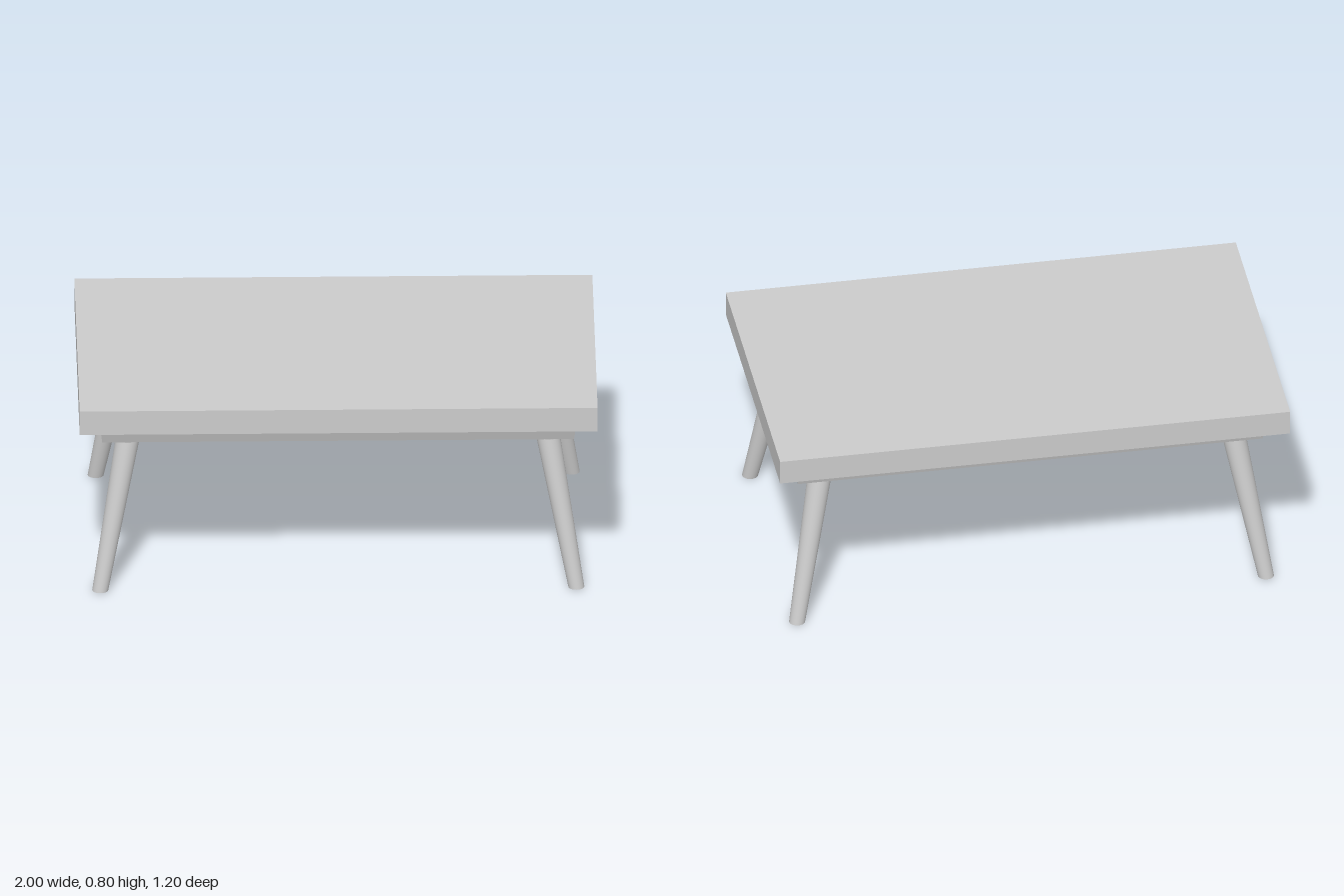
import * as THREE from 'three';

const material = new THREE.MeshStandardMaterial({ color: 0xcccccc });

function addMesh(parent, name, geometry) {
  const mesh = new THREE.Mesh(geometry, material);
  mesh.name = name;
  parent.add(mesh);
  return mesh;
}

function rectangle(PathType, x, z) {
  return new PathType([[-x, -z], [x, -z], [x, z], [-x, z]].map(([a, b]) => new THREE.Vector2(a, b)));
}

// Hollow rectangular frame whose walls lean inward toward the bottom
function apronGeometry() {
  const yBottom = 0.617, height = 0.083, wall = 0.02;
  const outline = rectangle(THREE.Shape, 0.92, 0.52);
  outline.holes.push(rectangle(THREE.Path, 0.92 - wall, 0.52 - wall));
  const geometry = new THREE.ExtrudeGeometry(outline, { depth: height, bevelEnabled: false });
  geometry.rotateX(-Math.PI / 2);
  const p = geometry.attributes.position;
  for (let i = 0; i < p.count; i++) {
    const drop = 1 - p.getY(i) / height;
    p.setX(i, p.getX(i) - Math.sign(p.getX(i)) * 0.009 * drop);
    p.setZ(i, p.getZ(i) - Math.sign(p.getZ(i)) * 0.027 * drop);
  }
  geometry.translate(0, yBottom, 0);
  geometry.computeVertexNormals();
  return geometry;
}

// Tapered leg, sheared outward so that its foot stays flat on the floor
function legGeometry(sx, sz) {
  const height = 0.61;
  const geometry = new THREE.CylinderGeometry(0.047, 0.031, height, 32);
  geometry.translate(0, height / 2, 0);
  const shear = new THREE.Matrix4().set(
    1, -0.18 * sx, 0, 0.919 * sx,
    0, 1, 0, 0,
    0, -0.18 * sz, 1, 0.519 * sz,
    0, 0, 0, 1);
  return geometry.applyMatrix4(shear);
}

export function createModel() {
  const table = new THREE.Group();
  table.name = 'table';

  addMesh(table, 'tabletop', new THREE.BoxGeometry(2, 0.1, 1.2)).position.y = 0.75;
  addMesh(table, 'apron', apronGeometry());

  // Panel recessed inside the apron, under the tabletop
  const panelBottom = 0.67;
  addMesh(table, 'underPanel', new THREE.BoxGeometry(1.8, 0.7 - panelBottom, 0.99))
    .position.y = (0.7 + panelBottom) / 2;

  // Four splayed legs, each under a round collar hung from the panel
  const collarHeight = panelBottom - 0.6;
  for (const sx of [-1, 1]) {
    for (const sz of [-1, 1]) {
      const name = (sz > 0 ? 'front' : 'back') + (sx > 0 ? 'Left' : 'Right');
      addMesh(table, name + 'Leg', legGeometry(sx, sz));
      const collar = addMesh(table, name + 'Collar', new THREE.CylinderGeometry(0.058, 0.053, collarHeight, 32));
      collar.position.set(0.81 * sx, 0.6 + collarHeight / 2, 0.41 * sz);
    }
  }
  return table;
}
